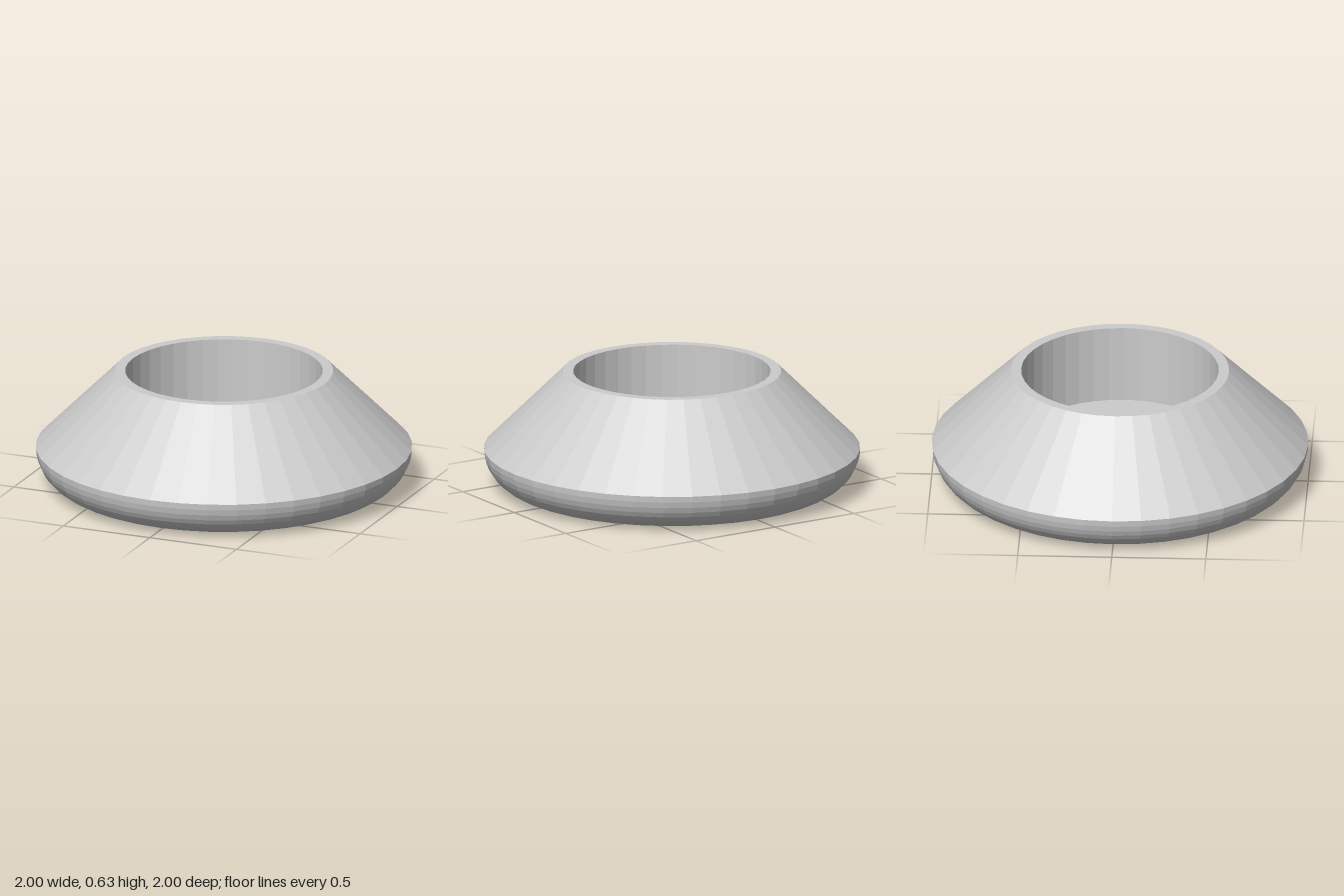
import * as THREE from 'three';

const SEGMENTS = 40;
const RADIUS = 1, SEAM = 0.21;         // widest point and its height
const TOP = 0.63, RIM = 0.58, BORE = 0.525;

function turned(name, profile) {
  const points = profile.map(([r, y]) => new THREE.Vector2(r, y));
  const material = new THREE.MeshStandardMaterial({ color: 0xcccccc, flatShading: true });
  const mesh = new THREE.Mesh(new THREE.LatheGeometry(points, SEGMENTS), material);
  mesh.name = name;
  return mesh;
}

export function createModel() {
  const group = new THREE.Group();
  group.name = 'taperedHolder';

  // Rounded base: flat underside, quarter-round edge
  const base = [[0, 0]];
  const steps = 10;
  for (let i = 0; i <= steps; i++) {
    const a = (i / steps) * Math.PI / 2;
    base.push([RADIUS - SEAM + SEAM * Math.sin(a), SEAM - SEAM * Math.cos(a)]);
  }
  group.add(turned('roundedBase', base));

  // Sloping collar with a narrow flat rim and a straight bore
  group.add(turned('conicalCollar', [[RADIUS, SEAM], [RIM, TOP], [BORE, TOP], [BORE, SEAM]]));

  // Floor of the bore
  group.add(turned('boreFloor', [[BORE, SEAM], [0, SEAM]]));

  return group;
}
